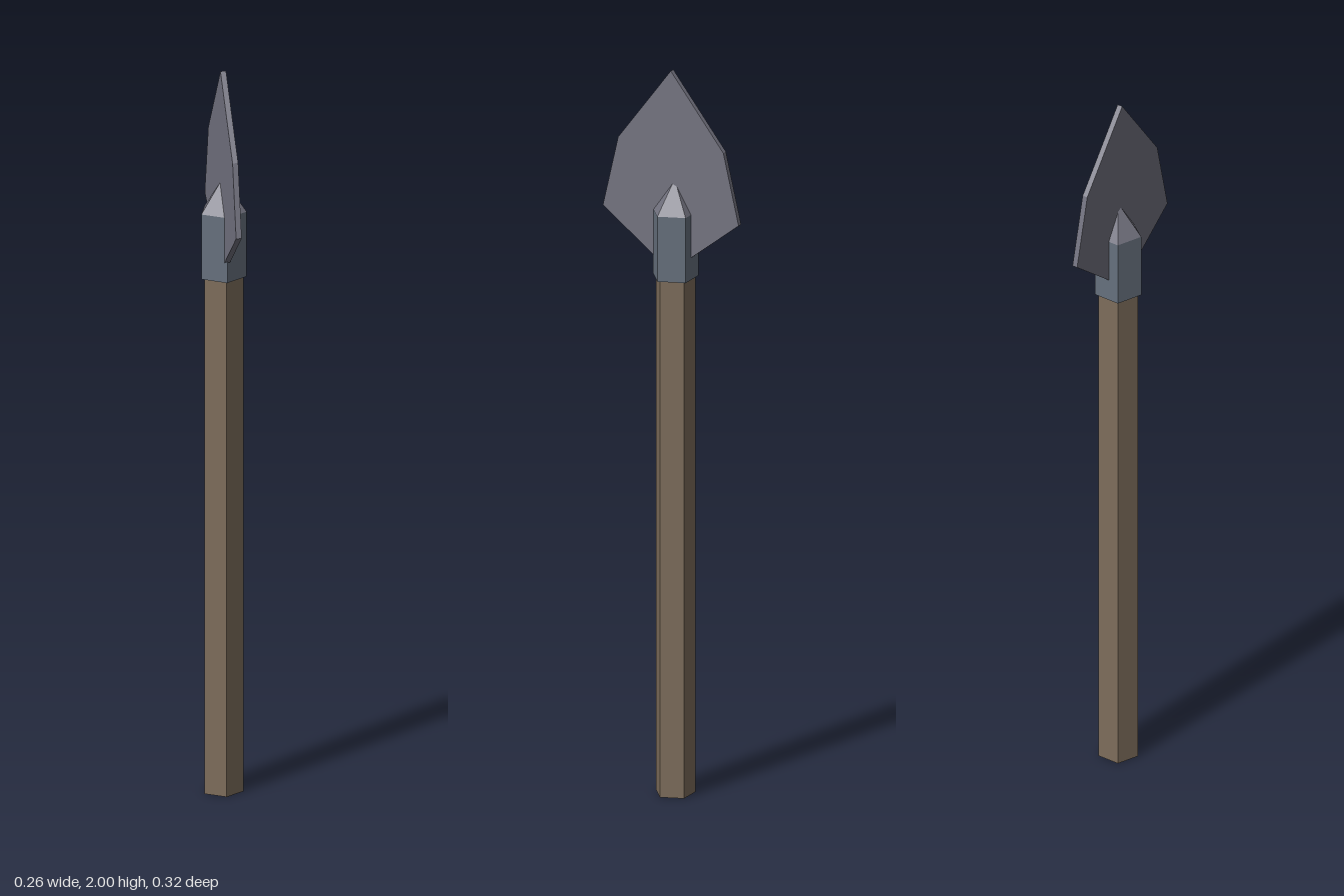
import * as THREE from 'three';

export function createModel() {
  const spear = new THREE.Group();
  spear.name = 'spear';

  const mat = (name, color) => {
    const m = new THREE.MeshStandardMaterial({ color, flatShading: true });
    m.name = name;
    return m;
  };
  const wood = mat('brown wood', 0x7d6d5b);
  const steel = mat('grey steel', 0x737380);
  const darkSteel = mat('blue grey steel', 0x66707d);

  const add = (name, geometry, material) => {
    const mesh = new THREE.Mesh(geometry, material);
    mesh.name = name;
    spear.add(mesh);
    return mesh;
  };

  // Five-sided section of the handle, between two heights
  const section = (name, rTop, rBottom, y0, y1, material, open = false) => {
    const g = new THREE.CylinderGeometry(rTop, rBottom, y1 - y0, 5, 1, open, Math.PI + 0.03);
    const mesh = add(name, g, material);
    mesh.position.set(-0.005, (y0 + y1) / 2, -0.006);
  };
  section('shaft', 0.055, 0.055, 0, 1.45, wood);
  section('socket', 0.064, 0.064, 1.43, 1.61, darkSteel);
  section('socketTip', 0, 0.064, 1.61, 1.7, steel, true);

  // Flat leaf blade, turned about the shaft
  const outline = [[0, 1.445], [0.2, 1.6], [0.155, 1.795], [0, 2], [-0.155, 1.795], [-0.2, 1.6]];
  const shape = new THREE.Shape(outline.map(([x, y]) => new THREE.Vector2(x, y)));
  const depth = 0.015;
  const bladeGeometry = new THREE.ExtrudeGeometry(shape, { depth, bevelEnabled: false });
  bladeGeometry.translate(0, 0, -depth / 2);
  const blade = add('blade', bladeGeometry, steel);
  blade.rotation.y = -0.902;

  return spear;
}
